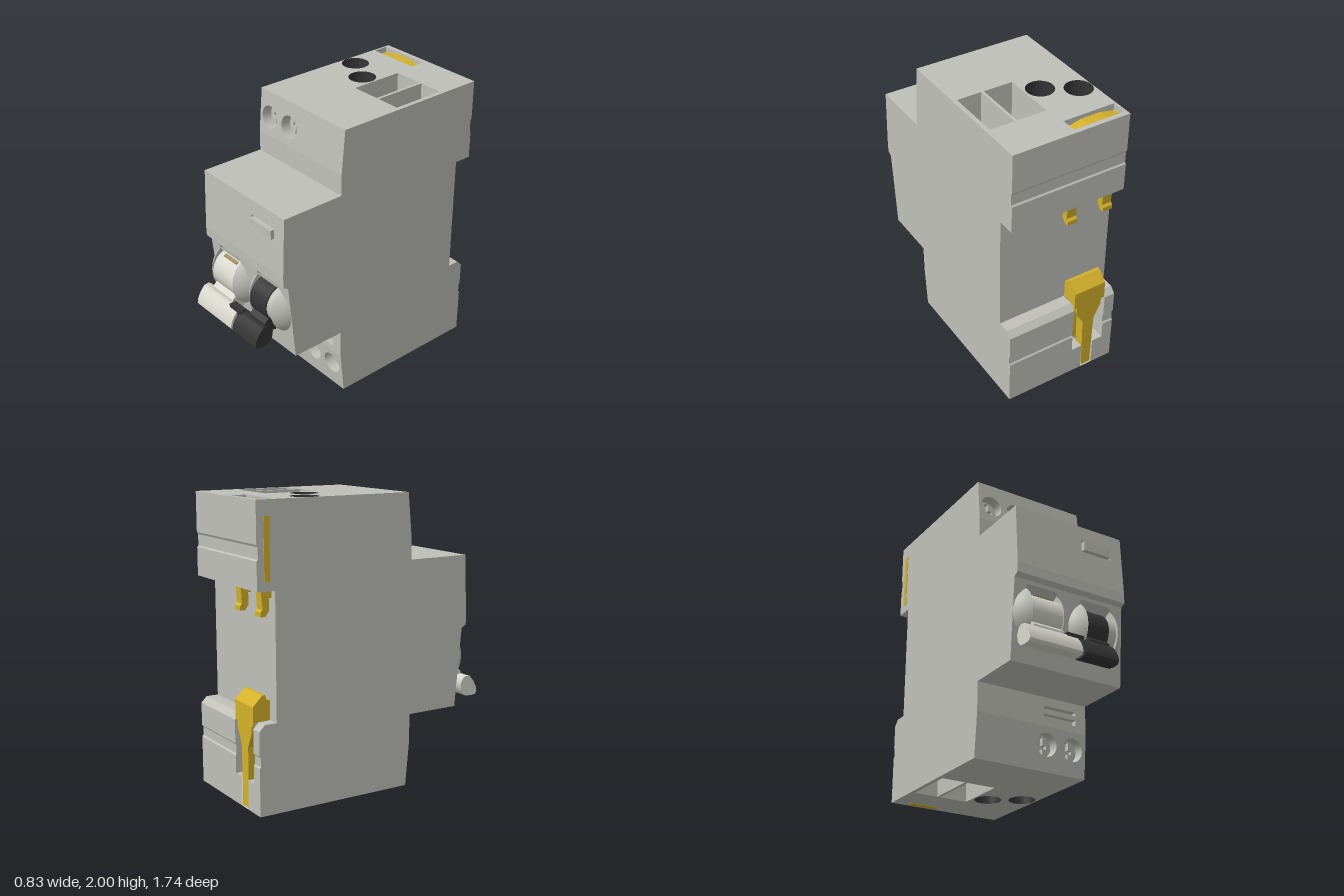
import * as THREE from 'three';
import { toCreasedNormals } from 'three/addons/utils/BufferGeometryUtils.js';
import { ConvexGeometry } from 'three/addons/geometries/ConvexGeometry.js';

const mat = (name, color, side = THREE.FrontSide) => {
  const m = new THREE.MeshStandardMaterial({ color, side });
  m.name = name;
  return m;
};
const HALF = 0.415;
const v2 = (x, y) => new THREE.Vector2(x, y);
const rect = (x0, x1, y0, y1) => [v2(x0, y0), v2(x1, y0), v2(x1, y1), v2(x0, y1)];
const circle = (x, y, r, n = 32) => Array.from({ length: n }, (_, i) =>
  v2(x + r * Math.cos(i * 2 * Math.PI / n), y + r * Math.sin(i * 2 * Math.PI / n)));

export function createModel() {
  const model = new THREE.Group();
  const grey = mat('housing grey', 0xc0c0b9, THREE.DoubleSide);
  const dark = mat('dark plastic', 0x343434, THREE.DoubleSide);
  const light = mat('light plastic', 0xd6d6cc);
  const yellow = mat('yellow clip', 0xd4b129);
  const brass = mat('brass terminal', 0xa5925f);

  const add = (parent, name, geo, m, x = 0, y = 0, z = 0) => {
    const mesh = new THREE.Mesh(geo, m);
    mesh.name = name;
    mesh.position.set(x, y, z);
    parent.add(mesh);
    return mesh;
  };
  const box = (parent, name, m, x0, x1, y0, y1, z0, z1) => add(parent, name,
    new THREE.BoxGeometry(x1 - x0, y1 - y0, z1 - z0), m, (x0 + x1) / 2, (y0 + y1) / 2, (z0 + z1) / 2);
  // Extrudes a side outline of [z, y] points from x0 to x1
  const extrudeX = (pts, x0, x1) => new THREE.ExtrudeGeometry(
    new THREE.Shape(pts.map(([z, y]) => v2(-z, y))), { depth: x1 - x0, bevelEnabled: false })
    .rotateY(Math.PI / 2).translate(x0, 0, 0);
  // Inner walls of a recess
  const wallGeo = (pts, depth) => {
    const p = [];
    pts.forEach((a, i) => {
      const b = pts[(i + 1) % pts.length];
      p.push(a.x, a.y, 0, a.x, a.y, -depth, b.x, b.y, -depth, a.x, a.y, 0, b.x, b.y, -depth, b.x, b.y, 0);
    });
    const g = new THREE.BufferGeometry();
    g.setAttribute('position', new THREE.Float32BufferAttribute(p, 3));
    g.computeVertexNormals();
    return toCreasedNormals(g, 0.6);
  };

  // Side outline as [z, y]: up the front, over the top, down the back
  const outline = [[0.255, 0], [0.283, 0.3], [0.285, 0.5], [0.67, 0.5], [0.72, 1.05], [0.755, 1.07],
    [0.756, 1.14], [0.737, 1.556], [0.285, 1.556], [0.283, 1.7], [0.255, 2], [-0.87, 2], [-0.87, 1.73],
    [-0.861, 1.715], [-0.861, 1.64], [-0.87, 1.63], [-0.87, 1.44], [-0.745, 1.44], [-0.745, 0.6],
    [-0.83, 0.6], [-0.87, 0.56], [-0.87, 0.4], [-0.861, 0.39], [-0.861, 0.33], [-0.87, 0.32],
    [-0.87, 0.2], [-0.87, 0]];
  const wide = [-0.335, -0.085], narrow = [-0.255, -0.165];
  const gaps = { 18: wide, 19: wide, 20: wide, 21: wide, 22: wide, 23: wide, 24: wide, 25: narrow };

  // Recesses by outline edge: [points, depth, wall material]
  const screws = (xs, v) => xs.map(x => [circle(x, v, 0.078), 0.1, grey]);
  const toggles = [-0.21, 0.205];
  const recesses = {
    0: screws([0.11, 0.31], 0.18),
    1: [[rect(0.085, 0.335, 0.045, 0.14), 0.04, grey]],
    3: toggles.map(x => [rect(x - 0.115, x + 0.115, 0.19, 0.525), 0.13, grey]),
    6: [[rect(0.09, 0.32, 0.225, 0.312), 0.03, grey]],
    9: screws([-0.315, -0.115], 0.126),
    10: [[circle(-0.32, 0.73, 0.093), 0.3, dark], [circle(-0.115, 0.61, 0.093), 0.3, dark],
      [rect(-0.01, 0.195, 0.455, 0.835), 0.25, grey], [rect(0.215, 0.385, 0.455, 0.835), 0.25, grey],
      [rect(-0.4, -0.03, 0.985, 1.09), 0.1, grey]],
    26: [[circle(0.315, 0.53, 0.093), 0.3, dark], [circle(0.115, 0.41, 0.093), 0.3, dark],
      [rect(-0.195, 0.01, 0.29, 0.67), 0.25, grey], [rect(-0.385, -0.215, 0.29, 0.67), 0.25, grey]],
  };

  // Housing: one panel per outline edge, with its recesses
  const housing = new THREE.Group();
  housing.name = 'housing';
  model.add(housing);
  const cross = [[-1, -5], [1, -5], [1, -1], [3, -1], [3, 1], [1, 1], [1, 5], [-1, 5], [-1, 1], [-3, 1], [-3, -1], [-1, -1]];
  outline.forEach(([z, y], i) => {
    const [z2, y2] = outline[(i + 1) % outline.length];
    const len = Math.hypot(z2 - z, y2 - y);
    const panel = new THREE.Group();
    panel.name = 'housingPanel';
    const X = new THREE.Vector3(1, 0, 0), V = new THREE.Vector3(0, (y2 - y) / len, (z2 - z) / len);
    panel.quaternion.setFromRotationMatrix(new THREE.Matrix4().makeBasis(X, V, X.clone().cross(V)));
    panel.position.set(0, y, z);
    housing.add(panel);
    const spans = gaps[i] ? [[-HALF, gaps[i][0]], [gaps[i][1], HALF]] : [[-HALF, HALF]];
    spans.forEach(([a, b]) => {
      const shape = new THREE.Shape(rect(a, b, 0, len));
      (recesses[i] || []).forEach(([pts]) => shape.holes.push(new THREE.Path(pts)));
      add(panel, 'face', new THREE.ShapeGeometry(shape), grey);
    });
    (recesses[i] || []).forEach(([pts, depth, wall]) => {
      add(panel, 'recessWall', wallGeo(pts, depth), wall);
      add(panel, 'recessFloor', new THREE.ShapeGeometry(new THREE.Shape(pts)), grey, 0, 0, -depth);
      const cx = (pts[0].x + pts[pts.length / 2].x) / 2, cy = pts[0].y;
      if (wall === dark) {
        add(panel, 'terminal', new THREE.CircleGeometry(0.062, 32), brass, cx, cy, -depth + 0.005);
      } else if (pts.length > 4) {
        const head = new THREE.Shape(circle(0, 0, 0.076));
        head.holes.push(new THREE.Path(cross.map(([a, b]) => v2(a * 0.014, b * 0.013))));
        add(panel, 'screwHead', new THREE.ExtrudeGeometry(head, { depth: 0.03, bevelEnabled: false }),
          grey, cx, cy, -depth);
      }
    });
  });
  for (const s of [-1, 1]) {
    const side = new THREE.Shape(outline.map(([z, y]) => v2(-s * z, y)));
    add(housing, 'housingSide', new THREE.ShapeGeometry(side), grey, s * HALF).rotation.y = s * Math.PI / 2;
  }
  // Slot behind the lower rail clip
  [[wide, 0.2, 0.6], [narrow, 0, 0.2]].forEach(([[a, b], y0, y1]) => {
    add(housing, 'clipSlotFloor', new THREE.PlaneGeometry(b - a, y1 - y0), grey,
      (a + b) / 2, (y0 + y1) / 2, -0.75).rotation.y = Math.PI;
    [a, b].forEach(x => add(housing, 'clipSlotWall', new THREE.PlaneGeometry(0.115, y1 - y0), grey,
      x, (y0 + y1) / 2, -0.805).rotation.y = Math.PI / 2);
  });
  for (const [a, b] of [[wide[0], narrow[0]], [narrow[1], wide[1]]]) {
    add(housing, 'clipSlotLedge', new THREE.PlaneGeometry(b - a, 0.12), grey,
      (a + b) / 2, 0.2, -0.81).rotation.x = -Math.PI / 2;
  }
  box(model, 'testButton', grey, 0.1, 0.31, 1.375, 1.44, 0.72, 0.762);
  box(model, 'labelSlat', grey, 0.085, 0.335, 0.385, 0.415, 0.25, 0.283);

  // Toggles: domed cheeks either side of a barrel
  const R = 0.235;
  toggles.forEach((cx, k) => {
    const toggle = new THREE.Group();
    toggle.name = k ? 'darkToggle' : 'lightToggle';
    toggle.position.set(cx, 0.825, 0.699);
    toggle.rotation.x = 0.09;
    model.add(toggle);
    for (const s of [-1, 1]) {
      const pts = [];
      for (let i = 0; i <= 8; i++) {
        const x = 0.115 + 0.09 * Math.sin(i / 8 * Math.PI / 2), h = Math.sqrt(Math.max(0, 0.205 ** 2 - x * x));
        for (let j = -10; j <= 10; j++) {
          const y = h * Math.sin(j / 10 * Math.PI / 2);
          pts.push(new THREE.Vector3(s * x, y, Math.sqrt(R * R - x * x - y * y) - 0.115));
        }
        pts.push(new THREE.Vector3(s * x, h, -0.02), new THREE.Vector3(s * x, -h, -0.02));
      }
      add(toggle, 'cheek', toCreasedNormals(new ConvexGeometry(pts), 0.5), grey);
    }
    const barrel = (name, m, x0, x1, r) => add(toggle, name,
      new THREE.CylinderGeometry(r, r, x1 - x0, 40).rotateZ(Math.PI / 2), m, (x0 + x1) / 2, 0, -0.06);
    if (k) {
      barrel('barrel', dark, -0.115, 0.05, 0.145);
      barrel('barrelSpacer', grey, 0.05, 0.114, 0.135);
    } else {
      barrel('barrel', light, -0.114, 0.114, 0.145);
      box(toggle, 'contactMark', brass, -0.07, 0.07, 0.126, 0.138, -0.02, 0.008);
    }
    // Sloping hood above the barrel
    add(toggle, 'hood', new THREE.PlaneGeometry(0.23, 0.13), grey, 0, 0.15, -0.04).rotation.x = 0.95;
  });

  // Handles and the bar linking them
  const grip = [[0.73, 0.645], [0.75, 0.685], [0.775, 0.7], [0.81, 0.695], [0.845, 0.655], [0.868, 0.61],
    [0.874, 0.575], [0.86, 0.557], [0.82, 0.553], [0.77, 0.56], [0.74, 0.59]];
  const arm = [[0.69, 0.7], [0.75, 0.755], [0.79, 0.72], [0.79, 0.66], [0.7, 0.64]];
  const smooth = g => toCreasedNormals(g, 0.7);
  add(model, 'lightHandle', smooth(extrudeX(grip, -0.405, -0.017)), light);
  add(model, 'lightArm', extrudeX(arm, -0.325, -0.1), light);
  add(model, 'darkHandle', smooth(extrudeX(grip, 0, 0.255)), dark);
  add(model, 'darkArm', extrudeX(arm, 0.09, 0.25), dark);
  box(model, 'linkBar', dark, -0.095, 0.03, 0.66, 0.71, 0.77, 0.82);

  // Yellow rail clips
  const hook = [[-0.745, 1.45], [-0.745, 1.39], [-0.765, 1.39], [-0.765, 1.31], [-0.79, 1.275], [-0.825, 1.275],
    [-0.825, 1.305], [-0.81, 1.32], [-0.82, 1.45]];
  for (const x of [-0.335, -0.065]) add(model, 'upperHook', extrudeX(hook, x - 0.035, x + 0.035), yellow);
  box(model, 'upperClip', yellow, -0.395, -0.035, 1.9, 1.965, -0.828, -0.745);
  const crown = new THREE.Shape([v2(-0.17, 0), v2(-0.07, 0.022), v2(0.07, 0.022), v2(0.17, 0)].reverse());
  add(model, 'upperClipCrown', new THREE.ExtrudeGeometry(crown, { depth: 0.08, bevelEnabled: false }),
    yellow, -0.215, 1.965, -0.827);
  box(model, 'upperClipSide', yellow, -0.418, -0.41, 1.5, 1.9, -0.82, -0.78);
  const jaw = [[-0.745, 0.6], [-0.745, 0.73], [-0.77, 0.735], [-0.78, 0.768], [-0.8, 0.768], [-0.868, 0.7],
    [-0.868, 0.57], [-0.83, 0.6]];
  add(model, 'lowerClipJaw', extrudeX(jaw, -0.33, -0.09), yellow);
  const stem = new THREE.Shape([v2(-0.1, 0.6), v2(-0.095, 0.52), v2(-0.045, 0.42), v2(-0.035, 0.01),
    v2(0.035, 0.01), v2(0.045, 0.42), v2(0.095, 0.52), v2(0.1, 0.6)]);
  add(model, 'lowerClipStem', new THREE.ExtrudeGeometry(stem, { depth: 0.07, bevelEnabled: false }),
    yellow, -0.21, 0, -0.866);
  box(model, 'lowerClipBase', yellow, -0.3, -0.12, 0.23, 0.6, -0.79, -0.752);
  box(model, 'lowerClipFoot', yellow, -0.3, -0.09, -0.003, 0.004, -0.85, -0.8);
  return model;
}
